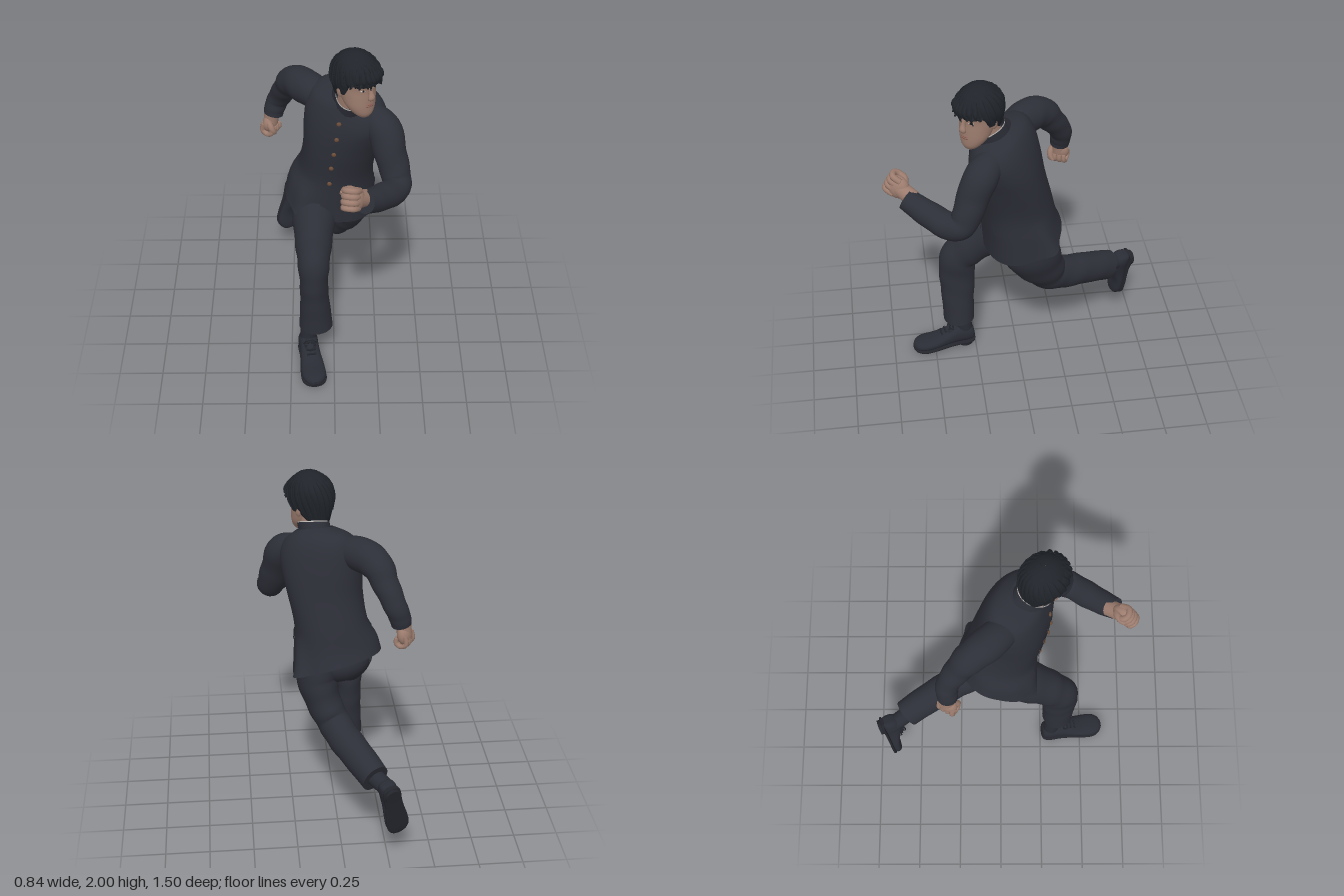
import * as THREE from 'three';

const mat = (name, color, side = THREE.FrontSide) => {
  const m = new THREE.MeshStandardMaterial({ color, side });
  m.name = name;
  return m;
};
const V = (x, y, z) => new THREE.Vector3(x, y, z);
const { sin, cos, PI, min, max, abs, sign, sqrt } = Math;

// Smooth interpolation through rows of numbers, t in 0..1
function sample(rows, t) {
  const f = min(max(t, 0), 1) * (rows.length - 1), i = min(Math.floor(f), rows.length - 2), u = f - i;
  const a = rows[max(i - 1, 0)], b = rows[i], c = rows[i + 1], d = rows[min(i + 2, rows.length - 1)];
  return b.map((p, k) => p + 0.5 * u * (c[k] - a[k] + u * (2 * a[k] - 5 * p + 4 * c[k] - d[k] + u * (3 * (p - c[k]) + d[k] - a[k]))));
}

// Grid surface from fn(s, q); closed rings share their seam, capped ends get their own edge
function surface(fn, ns, nq, { closed = true, cap = false } = {}) {
  const pos = [], idx = [], rows = [];
  for (let i = 0; i <= ns; i++) rows.push(Array.from({ length: closed ? nq : nq + 1 }, (_, j) => fn(i / ns, j / nq)));
  if (cap) {
    const mid = r => { const c = r.reduce((a, p) => a.add(p), V(0, 0, 0)).divideScalar(r.length); return r.map(() => c); };
    rows.unshift(mid(rows[0]), rows[0]);
    rows.push(rows[rows.length - 1], mid(rows[rows.length - 1]));
  }
  const n = rows[0].length;
  rows.flat().forEach(p => pos.push(p.x, p.y, p.z));
  for (let i = 0; i < rows.length - 1; i++) {
    if (rows[i] === rows[i + 1]) continue;
    for (let j = 0; j < nq; j++) {
      const k = closed ? (j + 1) % n : j + 1, a = i * n + j, b = i * n + k;
      idx.push(a, b, b + n, a, b + n, a + n);
    }
  }
  const g = new THREE.BufferGeometry();
  g.setAttribute('position', new THREE.Float32BufferAttribute(pos, 3));
  g.setIndex(idx);
  g.computeVertexNormals();
  return g;
}

// Tapered tube through [x, y, z, ra, rb]; ref sets the direction of ra
function limb(rows, ref, { ns = 30, nq = 24, folds = 0 } = {}) {
  rows = rows.map(r => (r.length < 5 ? [...r, r[3]] : r));
  return surface((s, q) => {
    const [x, y, z, ra, rb] = sample(rows, s);
    const T = V(...sample(rows, s + 0.01)).sub(V(...sample(rows, s - 0.01))).normalize();
    const A = ref.clone().addScaledVector(T, -ref.dot(T)).normalize(), B = T.clone().cross(A);
    const a = q * 2 * PI, w = 1 + folds * sin(s * 38 + 2 * sin(a)) * sin(s * PI);
    return V(x, y, z).addScaledVector(A, cos(a) * ra * w).addScaledVector(B, sin(a) * rb * w);
  }, ns, nq, { cap: true });
}

// Jacket sections: x, y, z, half width, half depth, twist, roll, pitch
const jacketRows = [
  [-0.015, 0.945, -0.018, 0.25, 0.22, -0.26, -0.045, -0.075],
  [-0.008, 1.05, -0.002, 0.235, 0.208, -0.18, -0.03, -0.04],
  [0.015, 1.18, 0.015, 0.207, 0.2, 0, -0.01, -0.02],
  [0.045, 1.35, 0.055, 0.212, 0.195, 0.25, 0, -0.02],
  [0.06, 1.48, 0.08, 0.225, 0.185, 0.42, -0.02, -0.03],
  [0.07, 1.58, 0.1, 0.225, 0.165, 0.5, -0.04, -0.04],
  [0.075, 1.652, 0.118, 0.19, 0.135, 0.5, -0.04, -0.04],
  [0.09, 1.692, 0.15, 0.1, 0.095, 0.4, -0.02, -0.03],
];
function jacketPoint(v, a, off = 0) {
  const [x, y, z, rx, rz, t, roll, pitch] = sample(jacketRows, v);
  const bump = (c, w) => Math.exp(-(((a - c + 3 * PI) % (2 * PI) - PI) ** 2) / w);
  const k = 1 + max(0, 1 - v * 4) * (0.2 * bump(0.33, 0.06) + 0.22 * bump(-2.45, 0.08) + 0.1 * bump(-2.95, 0.08));
  const ca = sign(cos(a)) * abs(cos(a)) ** 0.9, sa = sign(sin(a)) * abs(sin(a)) ** 0.9;
  const u = ca * (rx * k + off), w = sa * (rz * k + off);
  return V(x + cos(t) * u + sin(t) * w, y + roll * ca - pitch * sa, z + sin(t) * u - cos(t) * w);
}
// Angle of the buttoned edge at height v
const frontAngle = v => -PI / 2 + (-0.055 + 0.09 * v - jacketPoint(v, -PI / 2).x) / 0.22;

// Face sections: y, half width, front z, back z
const faceRows = [[-0.178, 0.036, 0.104, 0.04], [-0.155, 0.06, 0.115, 0], [-0.115, 0.083, 0.117, -0.05], [-0.06, 0.093, 0.115, -0.09],
  [-0.01, 0.097, 0.112, -0.11], [0.04, 0.099, 0.118, -0.115], [0.09, 0.092, 0.11, -0.1], [0.14, 0.05, 0.06, -0.05]];
function faceZ(x, y) {
  let t = 0;
  while (t < 1 && sample(faceRows, t)[0] < y) t += 0.005;
  const [, w, f, b] = sample(faceRows, t);
  return (f + b) / 2 + (f - b) / 2 * sqrt(max(0, 1 - (x / w) ** 2));
}

function hairPoint(s, q, lift = 0) {
  const a = q * 2 * PI, c = cos(a), u = min(s / 0.6, 1), d = max(0, (s - 0.6) / 0.4);
  const edge = c > 0 ? -0.04 + 0.095 * THREE.MathUtils.smoothstep(c, 0.25, 0.65) : -0.04 + 0.09 * c;
  const r = sin(u * PI / 2) * (1 - (c < 0 ? 0.2 : 0.08) * d * d) * (1 + 0.008 * sin(9 * a + 6 * s) * s) + lift;
  const y = d > 0 ? 0.03 + (edge - 0.03) * d : 0.03 + (0.14 + lift) * cos(u * PI / 2);
  return V(0.121 * r * sin(a), y, 0.138 * r * c - 0.005);
}

export function createModel() {
  const cloth = mat('uniform cloth', 0x2d2f38, THREE.DoubleSide), leather = mat('shoe leather', 0x2a2c35), skin = mat('skin', 0x9c7c6e);
  const hairM = mat('hair', 0x20242a, THREE.DoubleSide), brass = mat('button brass', 0x6b4c38), white = mat('shirt white', 0xc4c0bc);
  const lip = mat('lips', 0x8a6056), dark = mat('eye dark', 0x1a1614), sole = mat('shoe sole', 0x23252c);
  const model = new THREE.Group();
  const add = (parent, name, geo, m, p, scale) => {
    const mesh = new THREE.Mesh(geo, m);
    mesh.name = name;
    if (p) mesh.position.set(...p);
    if (scale) mesh.scale.set(...scale);
    parent.add(mesh);
    return mesh;
  };
  const ball = new THREE.SphereGeometry(1, 24, 16), X = V(1, 0, 0), Y = V(0, 1, 0);

  // Jacket with buttoned edge, buttons and pocket flaps
  add(model, 'jacket', surface((s, q) => jacketPoint(s, q * 2 * PI), 48, 72), cloth);
  const plate = (name, v0, v1, a0, a1) => add(model, name,
    surface((s, q) => { const v = v0 + (v1 - v0) * s; return jacketPoint(v, a0(v) + (a1(v) - a0(v)) * q, 0.006); }, 24, 6, { closed: false }), cloth);
  plate('buttonedEdge', 0.05, 0.95, v => frontAngle(v) - 0.07, v => frontAngle(v) + 0.16);
  plate('leftPocketFlap', 0.19, 0.245, () => -0.95, () => -0.2);
  plate('rightPocketFlap', 0.19, 0.245, () => -2.95, () => -2.25);
  for (const v of [0.28, 0.378, 0.478, 0.62, 0.79]) {
    const p = jacketPoint(v, frontAngle(v) + 0.05, 0.008);
    add(model, 'button', ball, brass, p.toArray(), [0.013, 0.013, 0.008]);
  }

  // Standing collar, shirt edge and neck
  const collarRing = (r, h) => surface((s, q) => {
    const a = q * 2 * PI;
    return V(0.088 + 0.01 * s + r * cos(a), 1.66 + h * s + 0.042 * sin(a), 0.163 + 0.022 * s - r * 1.1 * sin(a));
  }, 4, 32);
  add(model, 'collar', collarRing(0.09, 0.052), cloth);
  add(model, 'shirtEdge', collarRing(0.087, 0.057), white);
  add(model, 'neck', limb([[0.09, 1.64, 0.16, 0.078], [0.1, 1.72, 0.185, 0.071], [0.11, 1.8, 0.2, 0.064]], X), skin);

  // Sleeves
  add(model, 'rightSleeve', limb([[-0.06, 1.6, 0.03, 0.085], [-0.15, 1.612, -0.06, 0.096], [-0.22, 1.59, -0.155, 0.088],
    [-0.26, 1.51, -0.222, 0.074], [-0.305, 1.41, -0.282, 0.064], [-0.333, 1.34, -0.288, 0.06], [-0.343, 1.295, -0.285, 0.056]],
  V(0.66, 0, -0.75), { ns: 40, folds: 0.025 }), cloth);
  add(model, 'leftSleeve', limb([[0.19, 1.575, 0.16, 0.075], [0.266, 1.525, 0.232, 0.094], [0.302, 1.4, 0.29, 0.088], [0.333, 1.29, 0.335, 0.08],
    [0.33, 1.25, 0.395, 0.076], [0.265, 1.27, 0.485, 0.075], [0.2, 1.305, 0.57, 0.068], [0.155, 1.335, 0.632, 0.06]],
  V(-0.77, -0.43, -0.38), { ns: 44, folds: 0.025 }), cloth);

  // Clenched hands: z runs along the hand, y to the thumb, side s is the back of the hand
  const fist = (name, p, dir, up, s, size) => {
    const g = new THREE.Group();
    g.name = name;
    g.up.copy(up);
    g.position.copy(p);
    g.lookAt(p.clone().add(dir));
    g.scale.setScalar(size);
    add(g, 'palm', ball, skin, [s * 0.002, 0, 0.003], [0.043, 0.063, 0.066]);
    add(g, 'wrist', limb([[0, 0, -0.1, 0.046], [0, 0, -0.05, 0.045], [0, 0, 0, 0.045]], Y, { ns: 8 }), skin);
    for (let i = 0; i < 4; i++) {
      const y = 0.046 - i * 0.03, r = i === 3 ? 0.015 : 0.0175;
      add(g, 'finger', limb([[s * 0.022, y, 0.0, r], [s * 0.026, y, 0.05, r], [-s * 0.012, y, 0.068, r], [-s * 0.038, y, 0.047, r],
        [-s * 0.035, y, 0.015, r * 0.8]], Y, { ns: 16, nq: 10 }), skin);
    }
    add(g, 'thumb', limb([[0, 0.034, -0.025, 0.018], [-s * 0.03, 0.047, 0.005, 0.02], [-s * 0.046, 0.04, 0.035, 0.018], [-s * 0.05, 0.022, 0.055, 0.012]],
      V(0, 1, 0.3), { ns: 14, nq: 10 }), skin);
    model.add(g);
  };
  fist('leftHand', V(0.105, 1.383, 0.668), V(-0.45, 0.38, 0.6), V(-0.3, 1, 0.1), 1, 1.02);
  fist('rightHand', V(-0.36, 1.238, -0.287), V(-0.1, -1, -0.05), V(-0.5, 0, 0.85), -1, 0.92);

  // Trousers
  add(model, 'trouserSeat', ball, cloth, [-0.005, 0.96, -0.02], [0.2, 0.13, 0.17]);
  add(model, 'rightTrouserLeg', limb([[-0.095, 1.0, 0.0, 0.13, 0.14], [-0.11, 0.89, 0.14, 0.125, 0.135], [-0.115, 0.785, 0.265, 0.105, 0.122],
    [-0.115, 0.69, 0.345, 0.09, 0.108], [-0.115, 0.55, 0.352, 0.08, 0.105], [-0.11, 0.4, 0.352, 0.086, 0.096], [-0.105, 0.245, 0.35, 0.097, 0.092]],
  X, { ns: 48, nq: 28, folds: 0.025 }), cloth);
  add(model, 'leftTrouserLeg', limb([[0.085, 1.0, -0.04, 0.13, 0.16], [0.1, 0.86, -0.065, 0.118, 0.165], [0.067, 0.73, -0.125, 0.1, 0.135],
    [0.012, 0.63, -0.19, 0.094, 0.112], [-0.035, 0.588, -0.3, 0.092, 0.1], [-0.108, 0.542, -0.44, 0.088, 0.096], [-0.18, 0.488, -0.565, 0.08, 0.098]],
  X, { ns: 48, nq: 28, folds: 0.025 }), cloth);

  // Shoes: z to the toe, y up, origin on the ground under the middle
  const shoeRows = [[-0.19, 0.025, 0.035, 0.08], [-0.178, 0.046, 0.028, 0.125], [-0.14, 0.056, 0.025, 0.145], [-0.08, 0.055, 0.025, 0.143],
    [-0.02, 0.058, 0.022, 0.116], [0.06, 0.068, 0.018, 0.085], [0.13, 0.068, 0.015, 0.077], [0.172, 0.046, 0.017, 0.068], [0.19, 0.016, 0.024, 0.052]];
  const shoeLoft = (rows, e) => surface((s, q) => {
    const [z, w, b, t] = sample(rows, s), a = q * 2 * PI;
    return V(w * sign(cos(a)) * abs(cos(a)) ** e, (b + t) / 2 + (t - b) / 2 * sign(sin(a)) * abs(sin(a)) ** e, z);
  }, 32, 28, { cap: true });
  const shoe = (name, p, dir, up) => {
    const g = new THREE.Group(), z = dir.normalize(), x = up.clone().cross(z).normalize();
    g.name = name;
    g.setRotationFromMatrix(new THREE.Matrix4().makeBasis(x, z.clone().cross(x), z));
    g.position.copy(p);
    add(g, 'upper', shoeLoft(shoeRows, 0.85), leather);
    add(g, 'sole', shoeLoft(shoeRows.map(([l, w, b]) => [l * 1.01, w * 1.05, b - 0.008, b + 0.012]), 0.5), sole);
    add(g, 'heel', new THREE.CylinderGeometry(0.05, 0.05, 0.034, 24), sole, [0, 0.017, -0.133]);
    add(g, 'tongue', ball, leather, [0, 0.115, -0.06], [0.036, 0.034, 0.055]);
    for (let i = 0; i < 4; i++) add(g, 'lace', new THREE.BoxGeometry(0.055, 0.008, 0.009), sole, [0, 0.146 - i * 0.012, -0.055 + i * 0.024]);
    for (const s of [-1, 1]) add(g, 'laceLoop', new THREE.TorusGeometry(0.015, 0.004, 6, 16), sole, [s * 0.02, 0.143, -0.045]).rotation.x = 1;
    model.add(g);
    return g;
  };
  shoe('rightShoe', V(-0.134, 0, 0.445), V(0.15, 0, 1), Y);
  shoe('leftShoe', V(-0.284, 0.35, -0.705), V(-0.17, -0.95, 0.2), V(0.33, 0.1, 0.94)).scale.setScalar(0.9);
  add(model, 'rightSock', limb([[-0.135, 0.32, 0.335, 0.05], [-0.147, 0.2, 0.322, 0.048], [-0.152, 0.1, 0.315, 0.049]], X), leather);
  add(model, 'leftSock', limb([[-0.16, 0.5, -0.53, 0.05], [-0.21, 0.48, -0.6, 0.049], [-0.25, 0.465, -0.665, 0.048]], Y), leather);

  // Head, turned to the left
  const head = new THREE.Group();
  head.name = 'head';
  head.position.set(0.114, 1.83, 0.226);
  head.rotation.set(0.04, 0.7, 0, 'YXZ');
  model.add(head);
  add(head, 'face', surface((s, q) => {
    const [y, w, f, b] = sample(faceRows, s), a = q * 2 * PI;
    return V(w * cos(a), y, (f + b) / 2 - (f - b) / 2 * sin(a));
  }, 32, 32, { cap: true }), skin);
  add(head, 'nose', limb([[0, 0.02, 0.108, 0.01, 0.01], [0, -0.02, 0.118, 0.012, 0.012], [0, -0.05, 0.125, 0.02, 0.016],
    [0, -0.062, 0.117, 0.017, 0.008]], X, { ns: 16, nq: 14 }), skin);
  for (const [y, h] of [[-0.096, 0.005], [-0.106, 0.007]]) add(head, 'lip', ball, lip, [0, y, 0.112], [0.026, h, 0.008]);
  for (const s of [-1, 1]) {
    const ez = faceZ(0.04, -0.005);
    add(head, 'ear', ball, skin, [s * 0.1, -0.035, -0.01], [0.013, 0.035, 0.022]);
    add(head, 'eyeWhite', ball, white, [s * 0.04, -0.006, ez - 0.002], [0.015, 0.005, 0.005]).rotation.y = s * 0.4;
    add(head, 'iris', ball, dark, [s * 0.04, -0.005, ez + 0.001], [0.0075, 0.0055, 0.004]);
    add(head, 'eyebrow', limb([[s * 0.016, 0.012, faceZ(0.016, 0.012), 0.005, 0.003], [s * 0.042, 0.02, faceZ(0.042, 0.02), 0.006, 0.003],
      [s * 0.068, 0.014, faceZ(0.068, 0.014), 0.003, 0.002]], Y, { ns: 10, nq: 8 }), hairM);
  }

  // Hair: cap, swept strands and uneven fringe locks
  add(head, 'hairCap', surface((s, q) => hairPoint(max(s, 0.005), q), 28, 64), hairM);
  for (let i = 0; i < 22; i++) {
    const j = sin(i * 12.9), q = i / 22 + 0.02 * j, start = 0.16 + 0.1 * sin(i * 5.1);
    const path = [start, 0.4, 0.62, 0.85 + 0.08 * j].map((s, k) =>
      [...hairPoint(s, q + s * 0.12, k === 3 ? 0.02 : 0).toArray(), [0.003, 0.017, 0.018, 0.003][k], [0.002, 0.006, 0.007, 0.003][k]]);
    add(head, 'hairStrand', limb(path, V(cos(q * 2 * PI), 0, -sin(q * 2 * PI)), { ns: 12, nq: 8 }), hairM);
  }
  for (let i = 0; i < 7; i++) {
    const x = -0.08 + i * 0.026, z = 0.132 * sqrt(1 - (x / 0.12) ** 2), drop = 0.024 * sin(i * 2.3);
    add(head, 'fringeLock', limb([[x * 0.7, 0.12, z * 0.75, 0.008, 0.006], [x, 0.075, z, 0.016, 0.009],
      [x + 0.008, 0.048, z + 0.004, 0.012, 0.007], [x + 0.022, 0.02 + drop, z - 0.004, 0.002, 0.002]], X, { ns: 12, nq: 8 }), hairM);
  }
  return model;
}
